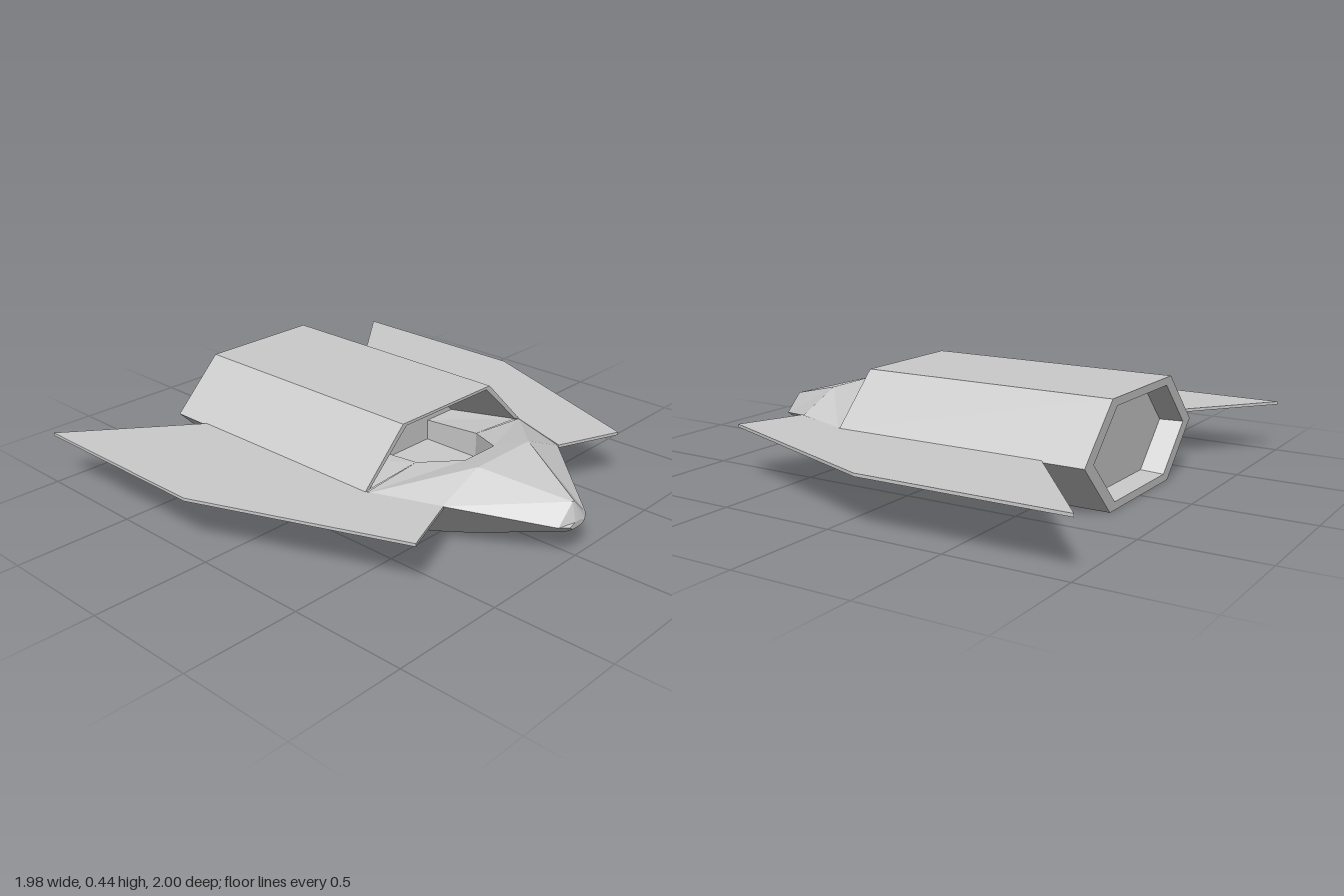
import * as THREE from 'three';

const material = new THREE.MeshStandardMaterial({ color: 0xcccccc, flatShading: true, side: THREE.DoubleSide });
const mirror = ([x, y, z]) => [-x, y, z];

// Mesh from convex polygons, flat shaded
function polyMesh(name, polys) {
  const pos = [];
  for (const p of polys)
    for (let i = 1; i < p.length - 1; i++) pos.push(...p[0], ...p[i], ...p[i + 1]);
  const geo = new THREE.BufferGeometry();
  geo.setAttribute('position', new THREE.Float32BufferAttribute(pos, 3));
  geo.computeVertexNormals();
  const mesh = new THREE.Mesh(geo, material);
  mesh.name = name;
  return mesh;
}

// Polygons between successive rings
function loft(rings, closed = true) {
  const polys = [];
  for (let r = 0; r < rings.length - 1; r++) {
    const a = rings[r], b = rings[r + 1], n = a.length;
    for (let i = 0; i < (closed ? n : n - 1); i++) {
      const j = (i + 1) % n;
      polys.push([a[i], b[i], b[j], a[j]]);
    }
  }
  return polys;
}

// Six-sided section: side, top and bottom corners, mirrored in x
function hex(z, side, top, bottom) {
  const [s, t, b] = [side, top, bottom].map(([x, y]) => [x, y, z]);
  return [s, t, mirror(t), mirror(s), mirror(b), b];
}
const upper = (ring) => ring.slice(0, 4);
const lower = (ring) => [ring[3], ring[4], ring[5], ring[0]];
const bothSides = (polys) => polys.flatMap((p) => [p, p.map(mirror).reverse()]);

function createHull() {
  const hull = new THREE.Group();
  hull.name = 'hull';
  const section = (z, k = 1) => hex(z, [0.49 * k, 0.222], [0.27 * k, 0.222 + 0.22 * k], [0.27 * k, 0.222 - 0.222 * k]);
  const front = section(0.35);

  // Outer skin, rear rim and rear recess
  const recess = section(-0.68, 0.82);
  hull.add(polyMesh('hullShell', [
    ...loft([front, section(-0.78), section(-0.78, 0.85), recess]),
    [...recess].reverse(),
  ]));

  // Tapering front opening and its back wall
  const mouth = hex(0.35, [0.46, 0.23], [0.25, 0.43], [0.25, 0]);
  const back = hex(0.08, [0.35, 0.23], [0.14, 0.42], [0.14, 0]);
  hull.add(polyMesh('frontOpening', [
    ...loft([upper(back), upper(mouth), upper(front)], false),
    upper(back),
  ]));
  return hull;
}

function createNose() {
  const nose = new THREE.Group();
  nose.name = 'nose';
  const tip = hex(1, [0.05, 0.14], [0.015, 0.15], [0.03, 0.125]);
  const chin = hex(0.975, [0.09, 0.145], [0.005, 0.225], [0.04, 0.11]);
  const ridge = hex(0.64, [0.37, 0.225], [0.16, 0.315], [0.19, 0.04]);
  const belly = hex(0.48, [0.436, 0.225], [0.2, 0.28], [0.245, 0.01]);
  const root = hex(0.35, [0.49, 0.222], [0.27, 0.44], [0.27, 0]);
  nose.add(polyMesh('noseShell', [
    tip,
    ...loft([tip, chin, ridge]),
    ...loft([lower(ridge), lower(belly), lower(root)], false),
  ]));

  // Deck around the cockpit well, running back into the opening
  const S0 = root[0], S1 = ridge[0], T = ridge[1];
  const N = [0.09, 0.28, 0.52], M = [0.19, 0.25, 0.35], E = [0.19, 0.23, 0.08];
  const A = [0.46, 0.23, 0.35], D = [0.35, 0.23, 0.08];
  nose.add(polyMesh('deck', [
    ...bothSides([[S0, T, S1], [S0, N, T], [S0, M, N], [A, D, E, M]]),
    [T, N, mirror(N), mirror(T)],
  ]));

  // Cockpit well
  const low = ([x, , z]) => [x, 0.14, z];
  const [n, m, e] = [N, M, E].map(low);
  nose.add(polyMesh('cockpitWell', [
    ...bothSides([[M, E, e, m], [N, M, m, n]]),
    [mirror(N), N, n, mirror(n)],
    [E, mirror(E), mirror(e), e],
    [n, m, e, mirror(e), mirror(m), mirror(n)],
  ]));
  return nose;
}

// Thin swept plate; side is +1 for left, -1 for right
function createWing(side) {
  const outline = [[0.37, 0.645], [0.65, 0.755], [0.99, -0.12], [0.99, -1], [0.485, -0.6], [0.48, 0.35]];
  const shape = new THREE.Shape(outline.map(([x, z]) => new THREE.Vector2(side * x, -z)));
  const geo = new THREE.ExtrudeGeometry(shape, { depth: 0.013, bevelEnabled: false });
  geo.rotateX(-Math.PI / 2).translate(0, 0.215, 0);
  const wing = new THREE.Mesh(geo, material);
  wing.name = side > 0 ? 'leftWing' : 'rightWing';
  return wing;
}

export function createModel() {
  const model = new THREE.Group();
  model.name = 'spacecraft';
  model.add(createHull(), createNose(), createWing(1), createWing(-1));
  return model;
}
